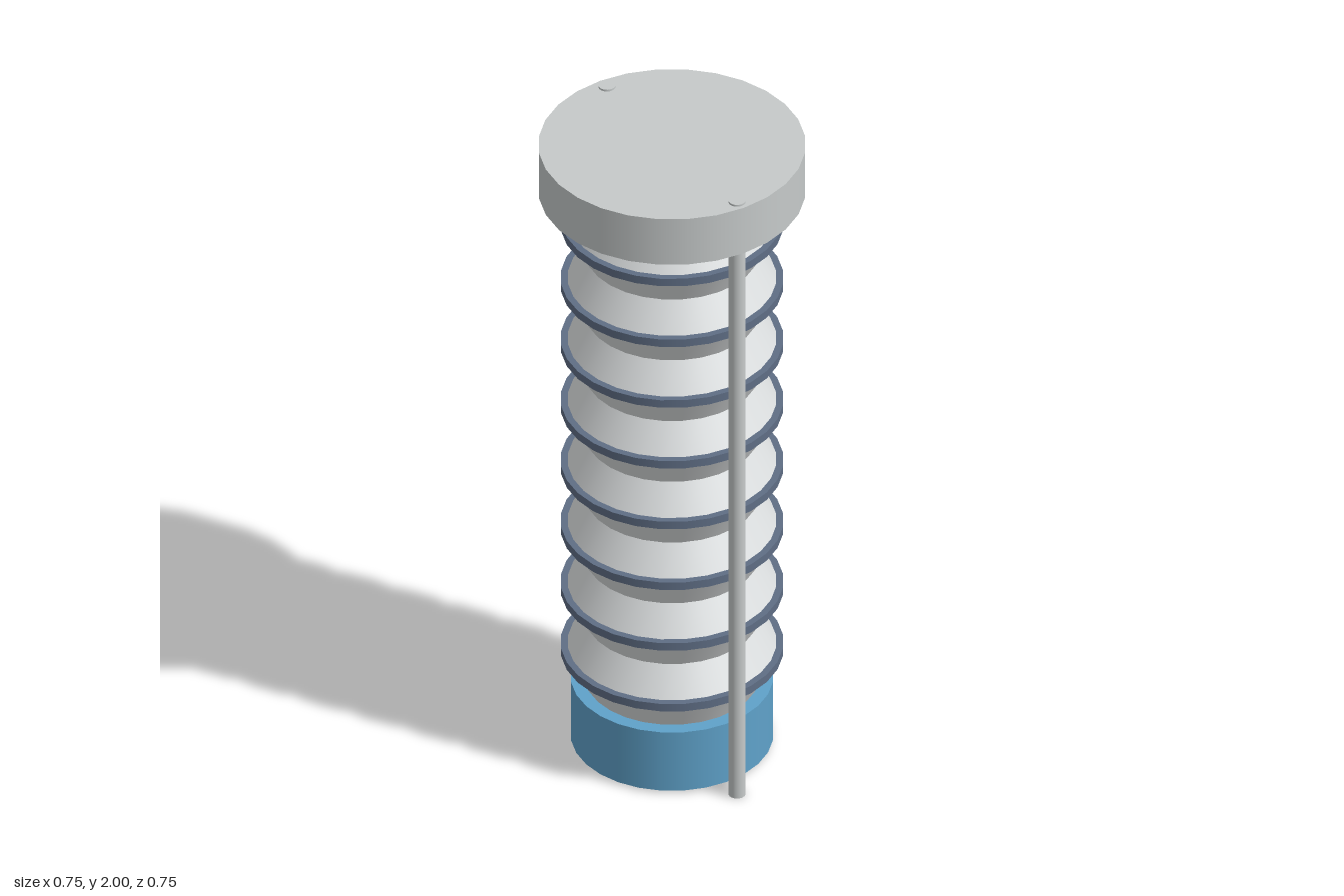
import * as THREE from 'three';

const mat = (name, color) => Object.assign(new THREE.MeshStandardMaterial({ color }), { name });

export function createModel() {
  const capGrey = mat('cap grey', 0xc6caca);
  const bellowsGrey = mat('bellows grey', 0xdcdfe0);
  const ringSlate = mat('ring slate', 0x5f6e85);
  const baseBlue = mat('base blue', 0x5fa2ca);

  const model = new THREE.Group();
  model.name = 'bellowsColumn';

  // Upright cylinder or cone section between two heights
  function section(parent, name, material, rTop, rBottom, y0, y1, open = false, sides = 28) {
    const geometry = new THREE.CylinderGeometry(rTop, rBottom, y1 - y0, sides, 1, open);
    const mesh = new THREE.Mesh(geometry, material);
    mesh.name = name;
    mesh.position.y = (y0 + y1) / 2;
    parent.add(mesh);
    return mesh;
  }

  // Base and cap
  section(model, 'base', baseBlue, 0.283, 0.283, 0.008, 0.204);
  section(model, 'cap', capGrey, 0.373, 0.373, 1.841, 1.994);

  // Bellows: eight folds, each two cones meeting at a stiffening ring
  const bellows = new THREE.Group();
  bellows.name = 'bellows';
  model.add(bellows);
  const folds = 8, bottom = 0.204, pitch = (1.841 - bottom) / folds;
  const inner = 0.244, outer = 0.298;
  for (let i = 0; i < folds; i++) {
    const y = bottom + i * pitch;
    const mid = y + pitch / 2;
    section(bellows, 'foldLower', bellowsGrey, outer, inner, y, mid, true);
    section(bellows, 'foldUpper', bellowsGrey, inner, outer, mid, y + pitch, true);
    section(bellows, 'ring', ringSlate, 0.311, 0.311, mid - 0.0125, mid + 0.0125);
  }

  // Guide rods at front and back, passing through the cap
  for (const side of [1, -1]) {
    const rod = section(model, side > 0 ? 'frontRod' : 'backRod', capGrey, 0.024, 0.024, 0, 2, false, 24);
    rod.position.z = side * 0.338;
  }
  return model;
}
